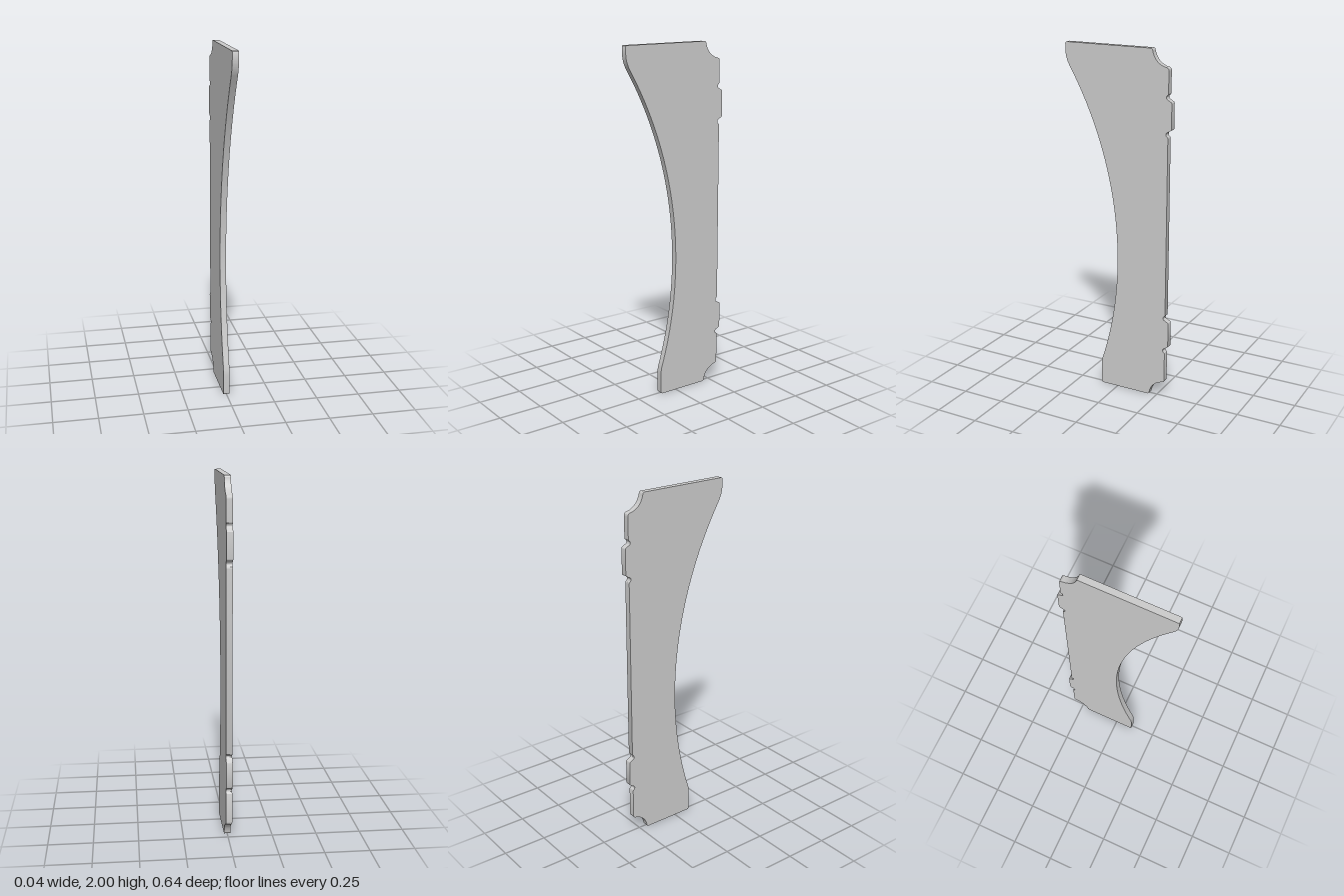
import * as THREE from 'three';
import { toCreasedNormals } from 'three/addons/utils/BufferGeometryUtils.js';

const THICKNESS = 0.035;
const BACK = -0.302; // straight rear edge

// Locating tab on the rear edge with a round relief notch at each end, drawn upwards
function rearTab(s, cy) {
  s.lineTo(BACK, cy - 0.122);
  s.quadraticCurveTo(BACK, cy - 0.113, -0.296, cy - 0.111);
  s.bezierCurveTo(-0.288, cy - 0.105, -0.288, cy - 0.092, -0.297, cy - 0.088);
  s.lineTo(-0.316, cy - 0.077);
  s.quadraticCurveTo(-0.322, cy - 0.074, -0.322, cy - 0.068);
  s.lineTo(-0.322, cy + 0.068);
  s.quadraticCurveTo(-0.322, cy + 0.074, -0.316, cy + 0.077);
  s.lineTo(-0.297, cy + 0.088);
  s.bezierCurveTo(-0.288, cy + 0.092, -0.288, cy + 0.105, -0.296, cy + 0.111);
  s.quadraticCurveTo(BACK, cy + 0.113, BACK, cy + 0.122);
}

// Side outline: shape x becomes z, shape y stays up
function panelOutline() {
  const s = new THREE.Shape();
  const R = 2.08;

  // top edge and rounded front tip
  s.moveTo(-0.197, 2);
  s.lineTo(0.312, 2);
  s.quadraticCurveTo(0.322, 2, 0.322, 1.99);
  s.lineTo(0.322, 1.96);
  s.quadraticCurveTo(0.322, 1.914, 0.296, 1.87);

  // long concave front edge
  s.absarc(R, 0.8, R, Math.PI - Math.asin(1.07 / R), Math.PI + Math.asin(0.64 / R), false);

  // foot
  s.quadraticCurveTo(0.105, 0.14, 0.105, 0.12);
  s.lineTo(0.105, 0.012);
  s.quadraticCurveTo(0.105, 0, 0.093, 0);
  s.lineTo(-0.197, 0);

  // lower scooped corner
  s.quadraticCurveTo(-0.205, 0, -0.207, 0.011);
  s.bezierCurveTo(-0.216, 0.055, -0.245, 0.085, -0.288, 0.094);
  s.quadraticCurveTo(BACK, 0.097, BACK, 0.112);

  rearTab(s, 0.395);
  rearTab(s, 1.65);

  // upper scooped corner
  s.lineTo(BACK, 1.888);
  s.quadraticCurveTo(BACK, 1.903, -0.288, 1.906);
  s.bezierCurveTo(-0.245, 1.915, -0.216, 1.945, -0.207, 1.989);
  s.quadraticCurveTo(-0.205, 2, -0.197, 2);
  return s;
}

export function createModel() {
  const group = new THREE.Group();
  group.name = 'sidePanel';

  let geo = new THREE.ExtrudeGeometry(panelOutline(), {
    depth: THICKNESS, bevelEnabled: false, curveSegments: 24,
  });
  geo.translate(0, 0, -THICKNESS / 2);
  geo.rotateY(-Math.PI / 2);
  geo = toCreasedNormals(geo, 0.5);

  const panel = new THREE.Mesh(geo, new THREE.MeshStandardMaterial({ color: 0xcccccc }));
  panel.name = 'panel';
  group.add(panel);
  return group;
}
